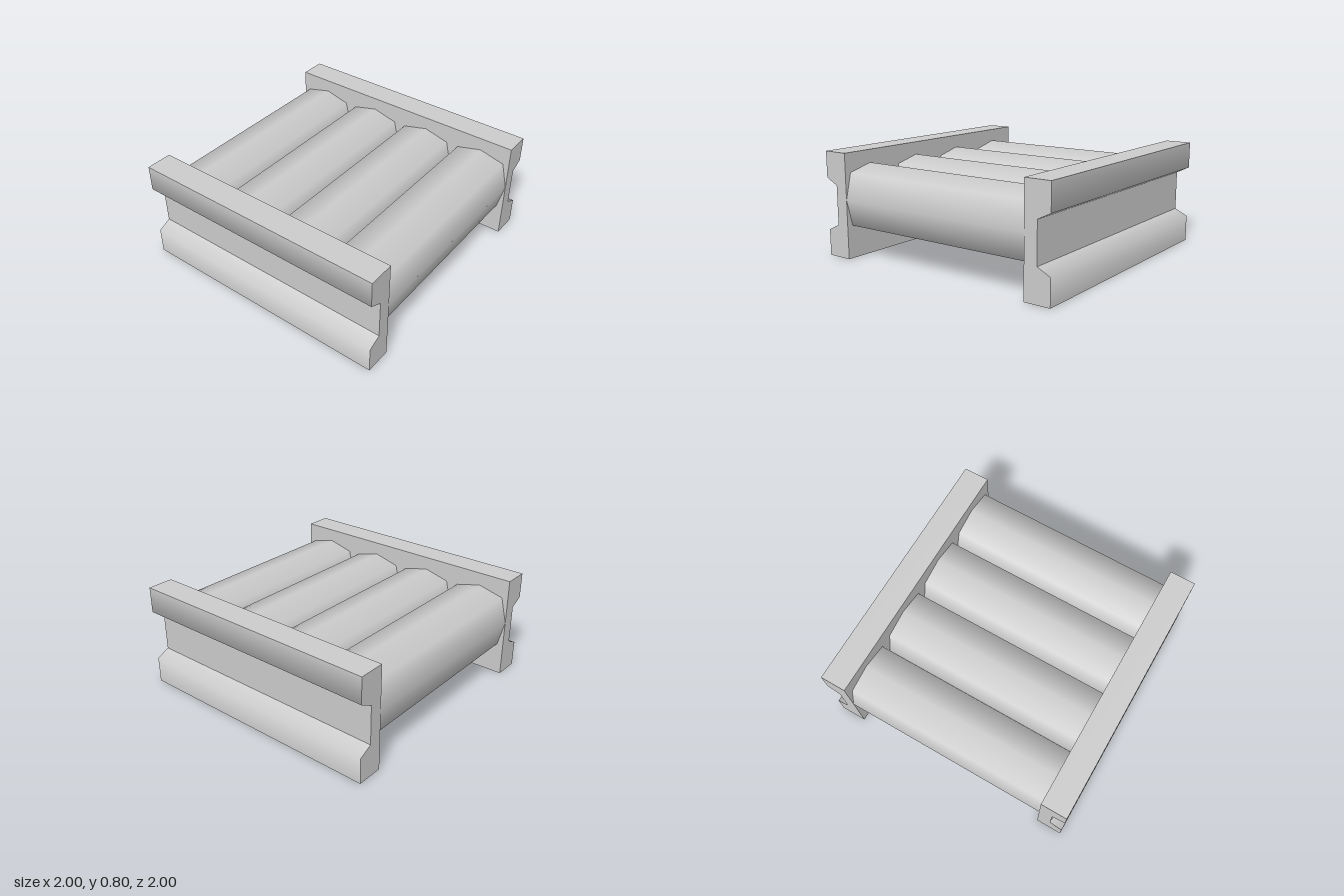
import * as THREE from 'three';

const material = new THREE.MeshStandardMaterial({ color: 0xcccccc });
const capMaterial = new THREE.MeshStandardMaterial({ color: 0xcccccc, side: THREE.DoubleSide });

// Sweeps an anticlockwise run of [x, y] points along z, smooth within the run.
function sweep(points, halfLength, closed = false) {
  const n = points.length;
  const run = closed ? [...points, points[0]] : points;
  const edges = run.slice(1).map(([x, y], i) =>
    new THREE.Vector2(y - run[i][1], run[i][0] - x).normalize());
  const position = [], normal = [], index = [];
  run.forEach(([x, y], i) => {
    const before = edges[i - 1] ?? edges[closed ? n - 1 : 0];
    const after = edges[i] ?? edges[closed ? 0 : edges.length - 1];
    const d = before.clone().add(after).normalize();
    for (const z of [-halfLength, halfLength]) {
      position.push(x, y, z);
      normal.push(d.x, d.y, 0);
    }
    if (i < edges.length) {
      const a = 2 * i;
      index.push(a, a + 2, a + 3, a, a + 3, a + 1);
    }
  });
  const geometry = new THREE.BufferGeometry();
  geometry.setAttribute('position', new THREE.Float32BufferAttribute(position, 3));
  geometry.setAttribute('normal', new THREE.Float32BufferAttribute(normal, 3));
  geometry.setIndex(index);
  return geometry;
}

function addMesh(parent, geometry, name, mat = material) {
  const mesh = new THREE.Mesh(geometry, mat);
  mesh.name = name;
  parent.add(mesh);
  return mesh;
}

// Grooved rail: profile x points outwards, length runs along the model's x.
function createRail(name) {
  const rail = new THREE.Group();
  rail.name = name;
  const runs = {
    underside: [[0.8, 0], [1, 0]],
    lowerLip: [[1, 0], [1, 0.2], [0.9, 0.25]],
    grooveFloor: [[0.9, 0.25], [0.9, 0.55]],
    upperLip: [[0.9, 0.55], [1, 0.6], [1, 0.8]],
    topFace: [[1, 0.8], [0.8, 0.8]],
    innerFace: [[0.8, 0.8], [0.8, 0]],
  };
  for (const [part, run] of Object.entries(runs)) {
    addMesh(rail, sweep(run, 1).rotateY(-Math.PI / 2), part);
  }

  // Flat ends
  const outline = Object.values(runs).flatMap((run) => run.slice(0, -1));
  const shape = new THREE.Shape(outline.map(([x, y]) => new THREE.Vector2(x, y)));
  for (const end of [-1, 1]) {
    const cap = new THREE.ShapeGeometry(shape).translate(0, 0, end).rotateY(-Math.PI / 2);
    addMesh(rail, cap, 'railEnd', capMaterial);
  }
  return rail;
}

export function createModel() {
  const model = new THREE.Group();
  model.name = 'rollerFrame';

  // Front and back rails
  const back = createRail('backRail');
  back.rotation.y = Math.PI;
  model.add(createRail('frontRail'), back);

  // Four touching rollers with a squarish eight-sided section
  const section = [
    [0.25, 0], [0.2, 0.2], [0, 0.25], [-0.2, 0.2],
    [-0.25, 0], [-0.2, -0.2], [0, -0.25], [0.2, -0.2],
  ];
  const rollerGeometry = sweep(section, 0.8, true);
  for (let i = 0; i < 4; i++) {
    addMesh(model, rollerGeometry, 'roller').position.set(-0.75 + 0.5 * i, 0.45, 0);
  }
  return model;
}
